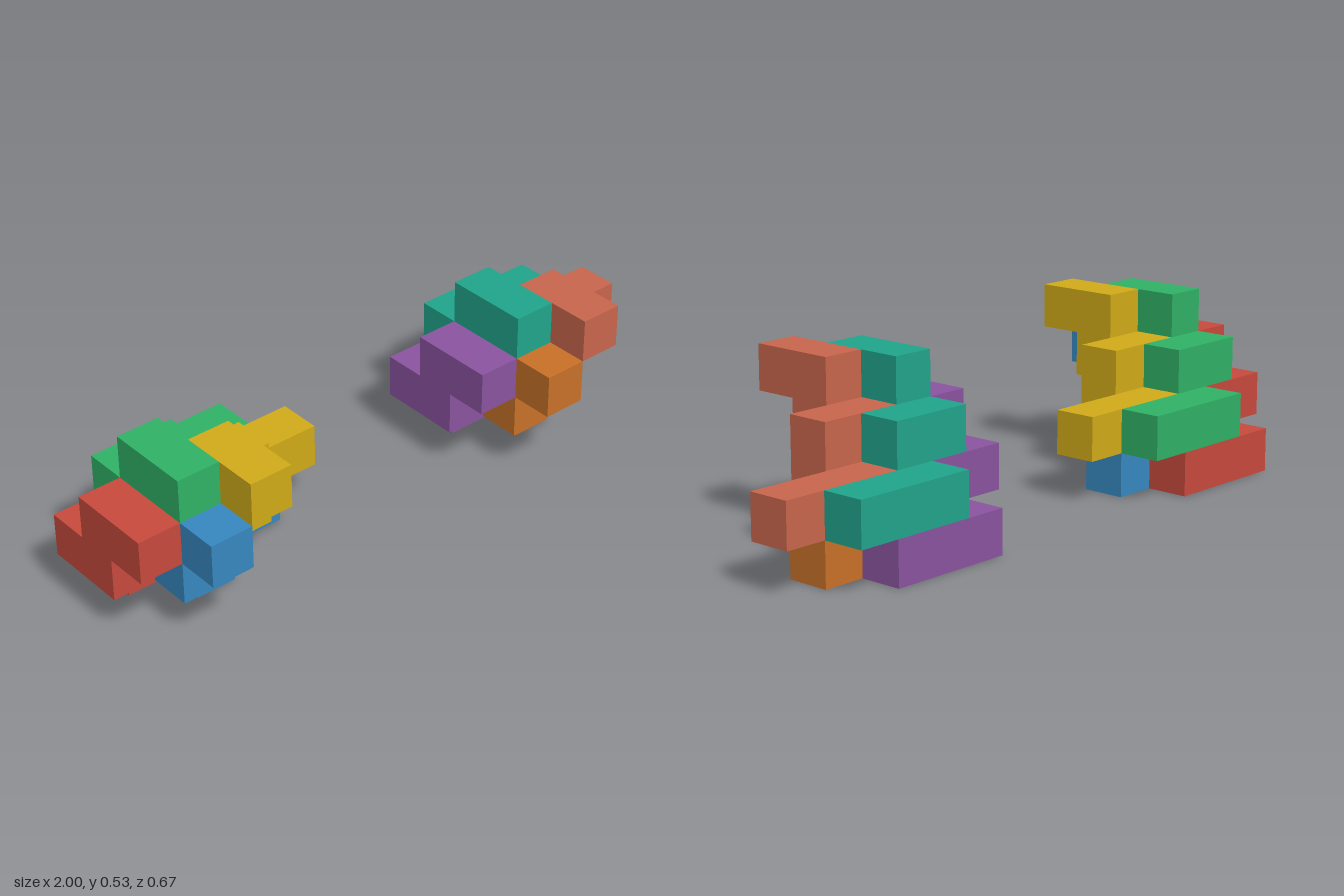
import * as THREE from 'three';
import { mergeGeometries } from 'three/addons/utils/BufferGeometryUtils.js';

const U = 2 / 15; // edge of one cube cell

// Stepped path of cells shared by every puzzle piece: [x, y, z]
const CELLS = [
  [2, 3, 4], [2, 3, 3], [2, 2, 3], [2, 2, 2], [3, 2, 2],
  [3, 1, 2], [3, 1, 1], [4, 1, 1], [5, 1, 1],
];

// Outward directions with the rotation that turns a +z plane to face them
const SIDES = [
  { dir: [0, 0, 1], rx: 0, ry: 0 },
  { dir: [0, 0, -1], rx: 0, ry: Math.PI },
  { dir: [1, 0, 0], rx: 0, ry: Math.PI / 2 },
  { dir: [-1, 0, 0], rx: 0, ry: -Math.PI / 2 },
  { dir: [0, 1, 0], rx: -Math.PI / 2, ry: 0 },
  { dir: [0, -1, 0], rx: Math.PI / 2, ry: 0 },
];

// Closed skin of the piece: one square for each cell side without a neighbour
function pieceGeometry() {
  const filled = new Set(CELLS.map((c) => c.join()));
  const faces = [];
  for (const cell of CELLS) {
    for (const { dir, rx, ry } of SIDES) {
      if (filled.has(cell.map((v, i) => v + dir[i]).join())) continue;
      const centre = cell.map((v, i) => (v + 0.5 + dir[i] / 2) * U);
      faces.push(new THREE.PlaneGeometry(U, U).rotateX(rx).rotateY(ry).translate(...centre));
    }
  }
  return mergeGeometries(faces);
}

// Four copies of the piece nest by whole-cell shifts
const NEST = [
  { name: 'frontUpperPiece', shift: [0, 0, 0] },
  { name: 'backUpperPiece', shift: [-1, 0, -1] },
  { name: 'frontLowerPiece', shift: [-1, -1, 0] },
  { name: 'backLowerPiece', shift: [-2, -1, -1] },
];

function cluster(name, startX, colors, geometry) {
  const group = new THREE.Group();
  group.name = name;
  NEST.forEach(({ name: pieceName, shift }, i) => {
    const material = new THREE.MeshStandardMaterial({ color: colors[i] });
    const mesh = new THREE.Mesh(geometry, material);
    mesh.name = pieceName;
    mesh.position.set(...shift).multiplyScalar(U);
    group.add(mesh);
  });
  group.position.set(startX * U, 0, -2.5 * U);
  return group;
}

export function createModel() {
  const model = new THREE.Group();
  model.name = 'interlockingCubePuzzle';
  const geometry = pieceGeometry();
  model.add(
    cluster('rightCluster', -7.5, [0xd1ac18, 0x30b266, 0x3788c1, 0xc84a3d], geometry),
    cluster('leftCluster', 1.5, [0xc9664d, 0x21a58b, 0xc87128, 0x8b54a0], geometry),
  );
  return model;
}
